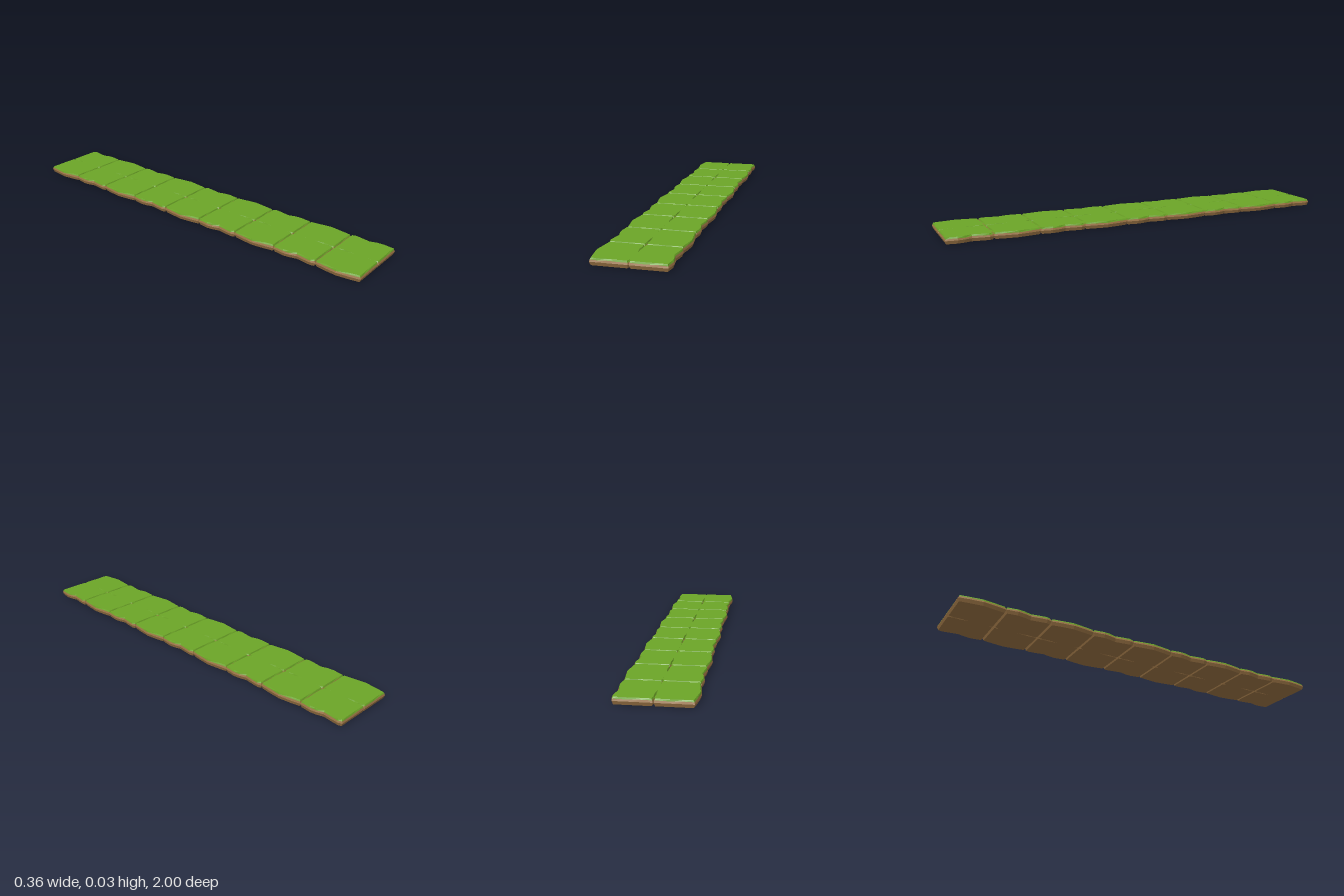
import * as THREE from 'three';

const TILES = 9;
const HALF = 1 / TILES;          // half the length of one tile
const grass = new THREE.MeshStandardMaterial({ color: 0x6ca527, flatShading: true });
const soil = new THREE.MeshStandardMaterial({ color: 0x9a7344, flatShading: true });

// Edge waves: [fraction from back to front, x]
const outerLeft = [[0, -0.163], [0.22, -0.171], [0.5, -0.178], [0.78, -0.171], [1, -0.163]];
const outerRight = [[0, 0.164], [0.1, 0.17], [0.25, 0.166], [0.45, 0.159], [0.6, 0.168], [0.75, 0.172], [0.9, 0.167], [1, 0.164]];
// Amount each half reaches past the centre line (low values leave a crack)
const centre = [[0, -0.002], [0.12, 0.003], [0.25, 0.001], [0.38, 0.004], [0.48, 0.006], [0.9, 0.006], [1, -0.002]];

const toPoint = ([t, x]) => new THREE.Vector2(x, HALF * (1 - 2 * t));
const endFractions = [0.2, 0.45, 0.75];

// Counter-clockwise outline seen from above, from the left and right edge
function outline(left, right) {
  const l = left.map(toPoint);
  const r = right.map(toPoint).reverse();
  const front = endFractions.map((f) => l[l.length - 1].clone().lerp(r[0], f));
  const back = endFractions.map((f) => r[r.length - 1].clone().lerp(l[0], f));
  return [...l, ...front, ...r, ...back];
}

// Move every corner inward along its mitred normal
function inset(points, amount) {
  const n = points.length;
  const normal = (a, b) => new THREE.Vector2(b.y - a.y, a.x - b.x).normalize();
  return points.map((p, i) => {
    const n1 = normal(points[(i + n - 1) % n], p);
    const n2 = normal(p, points[(i + 1) % n]);
    const m = n1.clone().add(n2);
    m.multiplyScalar(1 / (1 + n1.dot(n2)));
    return p.clone().addScaledVector(m, -amount(i));
  });
}

function ring(points, amount, height) {
  return inset(points, amount).map((p, i) => new THREE.Vector3(p.x, height(i), -p.y));
}

// Flat-sided skin through a stack of rings, with optional caps
function skin(rings, capBottom, capTop) {
  const out = [];
  const tri = (...v) => v.forEach((p) => out.push(p.x, p.y, p.z));
  for (let k = 0; k + 1 < rings.length; k++) {
    const a = rings[k], b = rings[k + 1];
    a.forEach((p, i) => {
      const j = (i + 1) % a.length;
      tri(p, a[j], b[j]);
      tri(p, b[j], b[i]);
    });
  }
  const cap = (r, flip) => {
    const flat = r.map((p) => new THREE.Vector2(p.x, -p.z));
    for (const [a, b, c] of THREE.ShapeUtils.triangulateShape(flat, [])) {
      if (flip) tri(r[a], r[c], r[b]);
      else tri(r[a], r[b], r[c]);
    }
  };
  if (capBottom) cap(rings[0], true);
  if (capTop) cap(rings[rings.length - 1], false);
  const geometry = new THREE.BufferGeometry();
  geometry.setAttribute('position', new THREE.Float32BufferAttribute(out, 3));
  geometry.computeVertexNormals();
  return geometry;
}

function slabGeometries(points) {
  const wave = (i) => Math.sin(i * 2.3);
  const bottom = ring(points, () => 0.006, () => 0);
  const middle = ring(points, () => 0, () => 0.016);
  const turfLine = ring(points, () => 0.003, (i) => 0.0245 + 0.0012 * wave(i));
  const top = ring(points, (i) => 0.0062 + 0.001 * wave(i), () => 0.032);
  return {
    soil: skin([bottom, middle, turfLine], true, false),
    turf: skin([turfLine, top], false, true),
  };
}

export function createModel() {
  const model = new THREE.Group();
  model.name = 'grassStrip';

  const halves = {
    left: slabGeometries(outline(outerLeft, centre)),
    right: slabGeometries(outline(centre.map(([t, e]) => [t, -e]), outerRight)),
  };

  // Row of tiles, every second one turned half round
  for (let k = 0; k < TILES; k++) {
    const tile = new THREE.Group();
    tile.name = `tile${k + 1}`;
    for (const [side, parts] of Object.entries(halves)) {
      const earth = new THREE.Mesh(parts.soil, soil);
      earth.name = `${side}Soil`;
      const turf = new THREE.Mesh(parts.turf, grass);
      turf.name = `${side}Turf`;
      tile.add(earth, turf);
    }
    tile.position.z = -1 + HALF * (2 * k + 1);
    if (k % 2) tile.rotation.y = Math.PI;
    model.add(tile);
  }
  return model;
}
